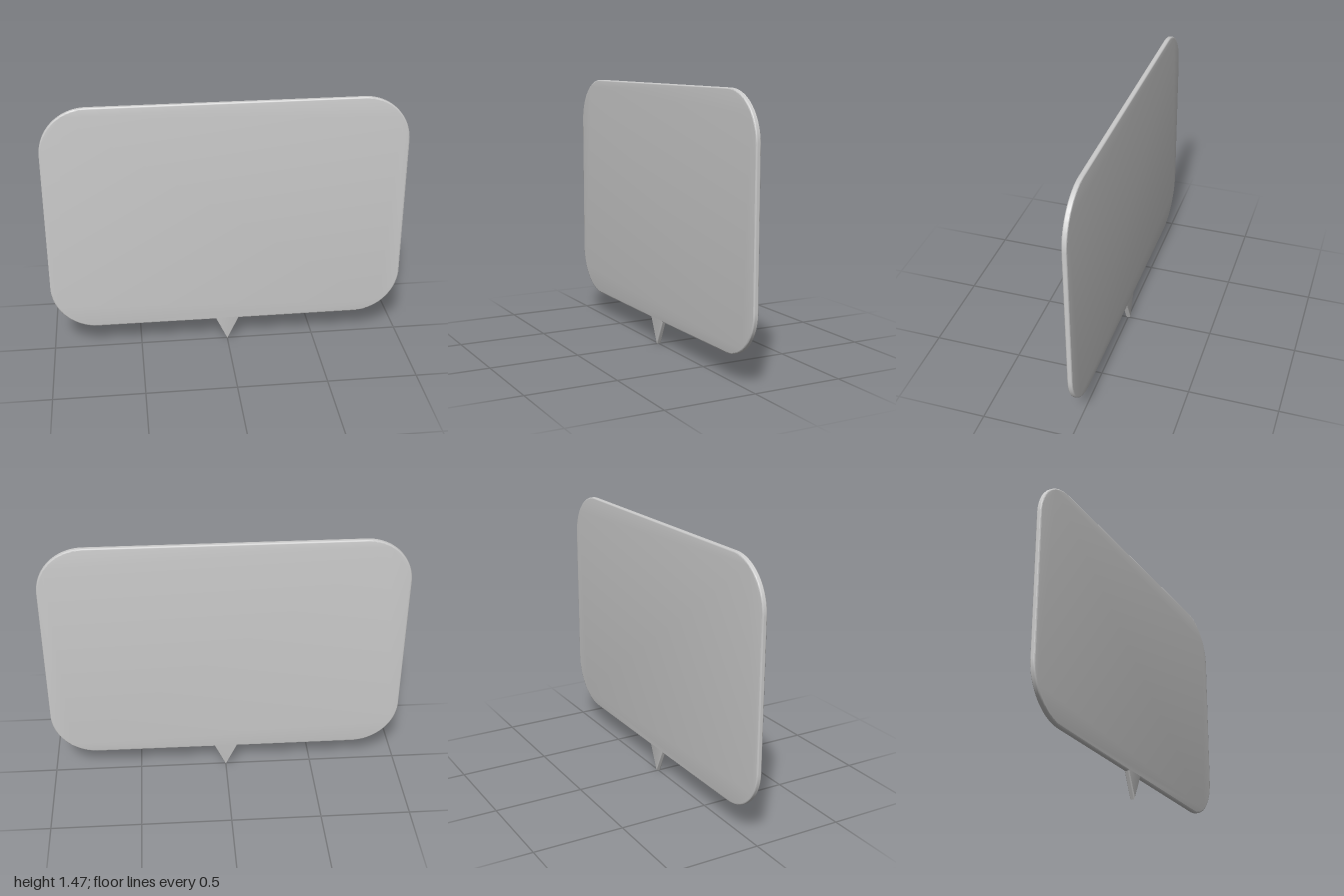
import * as THREE from 'three';
import { toCreasedNormals } from 'three/addons/utils/BufferGeometryUtils.js';

// Half width, bottom and top of the panel, corner radius, tail half width
const W = 1, BOTTOM = 0.14, TOP = 1.466, R = 0.26, TAIL = 0.066;
const DEPTH = 0.028, BEVEL = 0.008;

// Rounded rectangle with a pointed tail at the bottom centre
function bubbleShape() {
  const s = new THREE.Shape();
  s.moveTo(0, 0);
  s.lineTo(TAIL, BOTTOM);
  s.lineTo(W - R, BOTTOM);
  s.absarc(W - R, BOTTOM + R, R, -Math.PI / 2, 0);
  s.lineTo(W, TOP - R);
  s.absarc(W - R, TOP - R, R, 0, Math.PI / 2);
  s.lineTo(R - W, TOP);
  s.absarc(R - W, TOP - R, R, Math.PI / 2, Math.PI);
  s.lineTo(-W, BOTTOM + R);
  s.absarc(R - W, BOTTOM + R, R, Math.PI, Math.PI * 1.5);
  s.lineTo(-TAIL, BOTTOM);
  s.closePath();
  return s;
}

export function createModel() {
  const group = new THREE.Group();
  group.name = 'speechBubble';

  // Thin panel with softly rounded edges
  const geometry = new THREE.ExtrudeGeometry(bubbleShape(), {
    depth: DEPTH - 2 * BEVEL,
    curveSegments: 16,
    bevelEnabled: true,
    bevelThickness: BEVEL,
    bevelSize: BEVEL,
    bevelOffset: -BEVEL,
    bevelSegments: 3,
  });
  geometry.translate(0, 0, BEVEL - DEPTH / 2);

  const panel = new THREE.Mesh(
    toCreasedNormals(geometry, 0.6),
    new THREE.MeshStandardMaterial({ color: 0xcccccc })
  );
  panel.name = 'bubblePanel';
  group.add(panel);
  return group;
}
